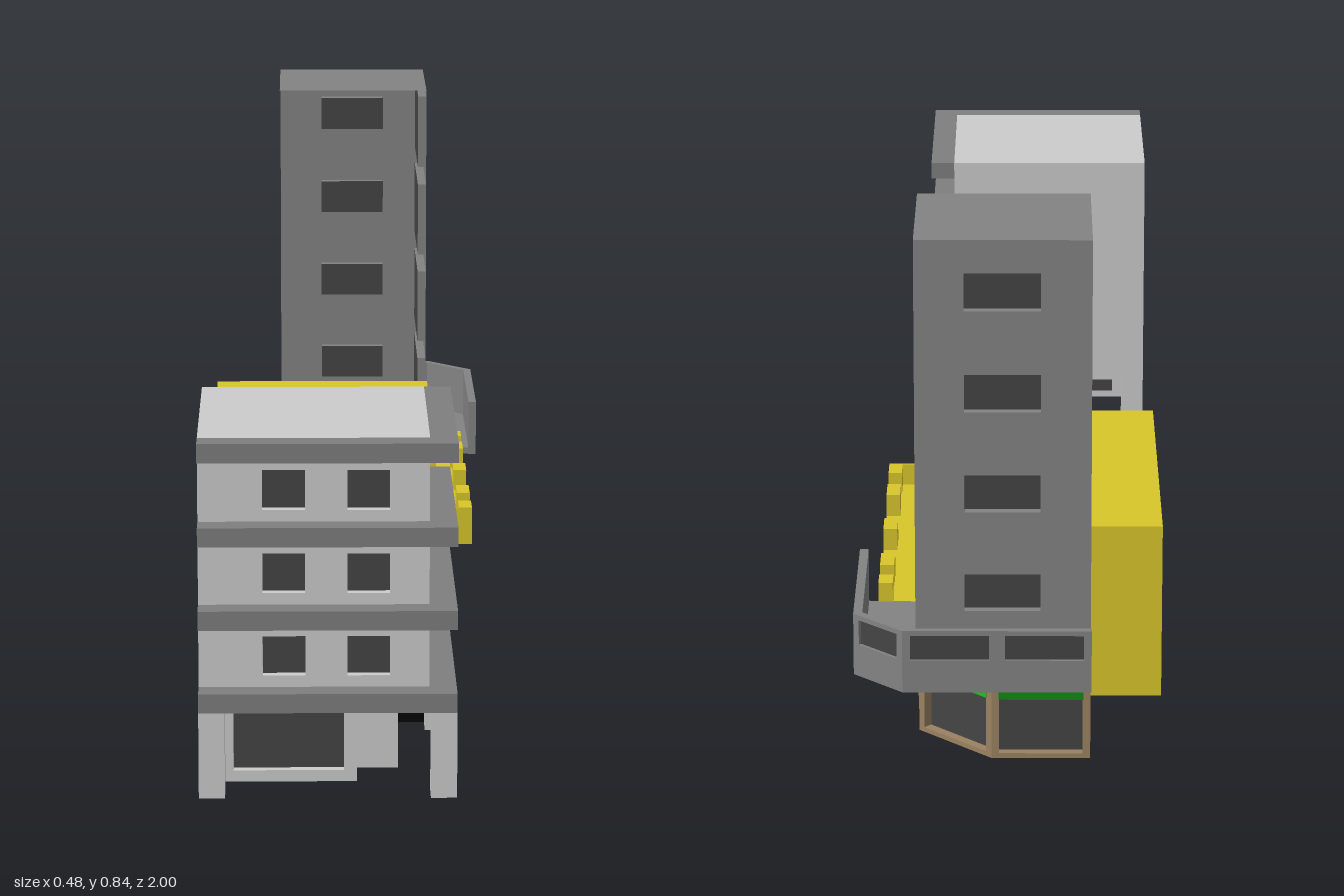
import * as THREE from 'three';

const mat = (color, side = THREE.FrontSide) => new THREE.MeshStandardMaterial({ color, side });
const both = (color) => mat(color, THREE.DoubleSide);
const GREY = 0xcccccc, BAND = 0x7e7e7e, TOWER = 0x838383, YELLOW = 0xd8c62a, BLACK = 0x030303;
const GLASS = 0x444444, SHOP = 0x2b2b2b, TRIM = 0x9a8262;

function add(parent, name, geometry, material) {
  const mesh = new THREE.Mesh(geometry, material);
  mesh.name = name;
  parent.add(mesh);
  return mesh;
}

function group(parent, name) {
  const g = new THREE.Group();
  g.name = name;
  parent.add(g);
  return g;
}

// box given by its limits
function box(parent, name, x0, x1, y0, y1, z0, z1, color) {
  const m = add(parent, name, new THREE.BoxGeometry(x1 - x0, y1 - y0, z1 - z0), mat(color));
  m.position.set((x0 + x1) / 2, (y0 + y1) / 2, (z0 + z1) / 2);
}

// thin horizontal sheet
function sheet(parent, name, x0, x1, z0, z1, y, color) {
  const m = add(parent, name, new THREE.PlaneGeometry(x1 - x0, z1 - z0), both(color));
  m.rotation.x = -Math.PI / 2;
  m.position.set((x0 + x1) / 2, y, (z0 + z1) / 2);
}

// horizontal slab from a plan outline of [x, z] points
function slab(parent, name, outline, y, depth, color) {
  const plan = new THREE.Shape(outline.map(([x, z]) => new THREE.Vector2(x, -z)));
  const m = add(parent, name, new THREE.ExtrudeGeometry(plan, { depth, bevelEnabled: false }), mat(color));
  m.rotation.x = -Math.PI / 2;
  m.position.y = y;
}

// sides of a window opening
function reveal(pts, depth) {
  const pos = [];
  pts.forEach((p, i) => {
    const q = pts[(i + 1) % pts.length];
    pos.push(p.x, p.y, 0, q.x, q.y, -depth, p.x, p.y, -depth, p.x, p.y, 0, q.x, q.y, 0, q.x, q.y, -depth);
  });
  const g = new THREE.BufferGeometry();
  g.setAttribute('position', new THREE.Float32BufferAttribute(pos, 3));
  g.computeVertexNormals();
  return g;
}

// upright wall from a to b (x, z), seen from the side where a is on the left;
// windows are [u0, y0, u1, y1, shoulder height for a pointed top]
function wall(parent, name, a, b, y0, y1, windows, color, opt = {}) {
  const { glass = GLASS, depth = 0.015, side = THREE.DoubleSide } = opt;
  const dx = b[0] - a[0], dz = b[1] - a[1], len = Math.hypot(dx, dz);
  const g = group(parent, name);
  g.position.set(a[0], 0, a[1]);
  g.rotation.y = Math.atan2(-dz, dx);
  const V = (x, y) => new THREE.Vector2(x, y);
  const shape = new THREE.Shape([V(0, y0), V(len, y0), V(len, y1), V(0, y1)]);
  for (const [u0, v0, u1, v1, shoulder] of windows) {
    const pts = shoulder
      ? [V(u0, v0), V(u1, v0), V(u1, shoulder), V((u0 + u1) / 2, v1), V(u0, shoulder)]
      : [V(u0, v0), V(u1, v0), V(u1, v1), V(u0, v1)];
    shape.holes.push(new THREE.Path(pts));
    add(g, 'windowReveal', reveal(pts, depth), both(color));
    add(g, 'windowPane', new THREE.ShapeGeometry(new THREE.Shape(pts)), both(glass)).position.z = -depth;
  }
  add(g, 'wallFace', new THREE.ShapeGeometry(shape), mat(color, side));
  return g;
}

// near corner block on legs, with projecting floor bands
function cornerBlock(root) {
  const g = group(root, 'cornerBlock');
  const outer = { side: THREE.FrontSide };
  for (let i = 0; i < 4; i++) {
    const y = 0.135 + i * 0.13;
    box(g, 'frontBand', -0.242, 0.152, y, y + 0.03, 0.96, 1, BAND);
    box(g, 'sideBand', 0.11, 0.152, y, y + 0.03, 0.605, 0.96, BAND);
    if (i === 3) break;
    const w = y + 0.048, top = y + 0.13;
    wall(g, 'frontWall', [-0.242, 0.96], [0.11, 0.96], y + 0.03, top,
      [[0.098, w, 0.163, w + 0.062], [0.227, w, 0.292, w + 0.062]], GREY, outer);
    wall(g, 'sideWall', [0.11, 0.96], [0.11, 0.605], y + 0.03, top,
      [[0.16, y + 0.032, 0.31, top - 0.002]], GREY, outer);
  }
  wall(g, 'partyWall', [0.11, 0.605], [-0.242, 0.605], 0.135, 0.555, [], GREY);
  sheet(g, 'roof', -0.242, 0.11, 0.605, 0.96, 0.555, GREY);
  sheet(g, 'firstFloor', -0.242, 0.11, 0.605, 0.96, 0.15, GREY);
  for (const x of [-0.242, 0.112])
    for (const z of [0.605, 0.96]) box(g, 'leg', x, x + 0.04, 0, 0.135, z, z + 0.04, GREY);
  // shop set back under the first floor, with a notched entrance corner
  wall(g, 'shopFront', [-0.21, 0.915], [0, 0.915], 0, 0.15, [[0.02, 0.018, 0.19, 0.117]], GREY);
  wall(g, 'entranceSide', [0, 0.915], [0, 0.845], 0, 0.15, [], GREY);
  wall(g, 'entranceFront', [0, 0.845], [0.065, 0.845], 0, 0.15, [], GREY);
  wall(g, 'shopSide', [0.065, 0.845], [0.065, 0.605], 0, 0.15, [[0.035, 0.018, 0.18, 0.117]], GREY);
}

// low dark hall with a stepped parapet
function darkHall(root) {
  const g = group(root, 'darkHall');
  const windows = Array.from({ length: 7 }, (_, i) => [0.028 + i * 0.088, 0.02, 0.086 + i * 0.088, 0.13]);
  wall(g, 'facade', [0.15, 0.605], [0.15, -0.05], 0, 0.2, windows, BLACK, { glass: 0x333333 });
  sheet(g, 'roof', -0.07, 0.15, -0.05, 0.605, 0.2, BLACK);
  for (const z of [0.603, -0.052]) wall(g, 'endWall', [-0.07, z], [0.15, z], 0, 0.2, [], BLACK);
  box(g, 'cornice', 0.15, 0.16, 0.163, 0.173, -0.05, 0.605, BLACK);
  box(g, 'plinth', 0.15, 0.155, 0, 0.018, -0.05, 0.605, BLACK);
  box(g, 'lowerParapet', 0.12, 0.152, 0.2, 0.225, 0.155, 0.4, BLACK);
  box(g, 'upperParapet', 0.12, 0.152, 0.225, 0.255, 0.215, 0.335, BLACK);
}

// yellow house with pointed windows, shops and a notched balcony
function yellowHouse(root) {
  const g = group(root, 'yellowHouse');
  const arch = (u) => [u, 0.157, u + 0.048, 0.262, 0.235];
  wall(g, 'upperFacade', [0.15, -0.05], [0.15, -0.64], 0.13, 0.29,
    [arch(0.05), arch(0.137), [0.26, 0.19, 0.33, 0.242], arch(0.397), arch(0.482)], YELLOW, { glass: SHOP });
  wall(g, 'shopFacade', [0.15, -0.05], [0.15, -0.64], 0, 0.13,
    [[0.03, 0.002, 0.24, 0.127], [0.257, 0.002, 0.325, 0.127], [0.34, 0.002, 0.55, 0.127]],
    YELLOW, { glass: SHOP, depth: 0.04 });
  sheet(g, 'roof', -0.242, 0.15, -0.64, -0.05, 0.29, YELLOW);
  wall(g, 'nearEndWall', [-0.242, -0.05], [-0.07, -0.05], 0, 0.29, [], YELLOW);
  wall(g, 'nearGable', [-0.07, -0.05], [0.15, -0.05], 0.2, 0.29, [], YELLOW);
  wall(g, 'farEndWall', [0.15, -0.64], [-0.242, -0.64], 0, 0.29, [], YELLOW);
  box(g, 'balconyFloor', 0.15, 0.213, 0.127, 0.156, -0.64, -0.05, YELLOW);
  for (const [z0, z1] of [[-0.1, -0.054], [-0.215, -0.157], [-0.385, -0.33], [-0.555, -0.5], [-0.64, -0.6]])
    box(g, 'balconyNotch', 0.19, 0.213, 0.156, 0.193, z0, z1, YELLOW);
  box(g, 'balconyEnd', 0.15, 0.213, 0.156, 0.193, -0.054, -0.05, YELLOW);
}

// far tower over a shop with a cut corner and a wrap-around balcony
function tower(root) {
  const g = group(root, 'tower');
  const side = [], back = [];
  for (let i = 0; i < 4; i++) {
    side.push([0.01, 0.2 + i * 0.165, 0.25, 0.332 + i * 0.165]);
    back.push([0.076, 0.245 + i * 0.161, 0.193, 0.305 + i * 0.161]);
  }
  wall(g, 'streetWall', [0.147, -0.637], [0.147, -0.9], 0.15, 0.84, side, TOWER);
  wall(g, 'backWall', [0.147, -0.9], [-0.124, -0.9], 0.15, 0.84, back, TOWER);
  sheet(g, 'roof', -0.124, 0.147, -0.9, -0.637, 0.84, TOWER);

  // balcony slab between its rim and the shop below
  const shop = [[0.145, -0.64], [0.145, -0.785], [0.03, -0.9], [-0.124, -0.9]];
  const rim = [[0.242, -0.637], [0.242, -0.925], [0.165, -1], [-0.124, -1]];
  slab(g, 'balconySlab', [...rim, ...[...shop].reverse()], 0.15, 0.012, TOWER);

  // balcony rail: solid core faced with sunken panels
  const core = [[0.236, -0.637], [0.236, -0.922], [0.162, -0.994], [-0.124, -0.994]];
  const inner = [[0.228, -0.637], [0.228, -0.92], [0.16, -0.988], [-0.124, -0.988]].reverse();
  slab(g, 'balconyRailCore', [...core, ...inner], 0.162, 0.084, TOWER);
  slab(g, 'balconyRailTop', [...rim, ...inner], 0.246, 0.004, TOWER);
  wall(g, 'balconyRailEnd', inner[3], rim[0], 0.15, 0.25, [], TOWER);
  wall(g, 'balconyRailEnd', rim[3], inner[0], 0.15, 0.25, [], TOWER);
  [2, 1, 2].forEach((count, i) => {
    const a = rim[i], b = rim[i + 1], step = Math.hypot(b[0] - a[0], b[1] - a[1]) / count;
    const panels = Array.from({ length: count }, (_, k) => [k * step + 0.012, 0.202, (k + 1) * step - 0.012, 0.242]);
    wall(g, 'balconyRail', a, b, 0.15, 0.25, panels, TOWER, { depth: 0.005 });
  });

  // shop fronts, each with a coloured fascia across the top of the opening
  [0xc01414, 0x1fbf1f, 0x128a12].forEach((color, i) => {
    const a = shop[i], b = shop[i + 1], len = Math.hypot(b[0] - a[0], b[1] - a[1]);
    const front = wall(g, 'shopFront', a, b, 0, 0.15, [[0.012, 0.008, len - 0.012, 0.126]], TRIM);
    const fascia = add(front, 'fascia', new THREE.BoxGeometry(len - 0.022, 0.028, 0.004), mat(color));
    fascia.position.set(len / 2, 0.112, -0.001);
  });
}

export function createModel() {
  const root = new THREE.Group();
  root.name = 'streetRow';
  cornerBlock(root);
  darkHall(root);
  yellowHouse(root);
  tower(root);
  return root;
}
